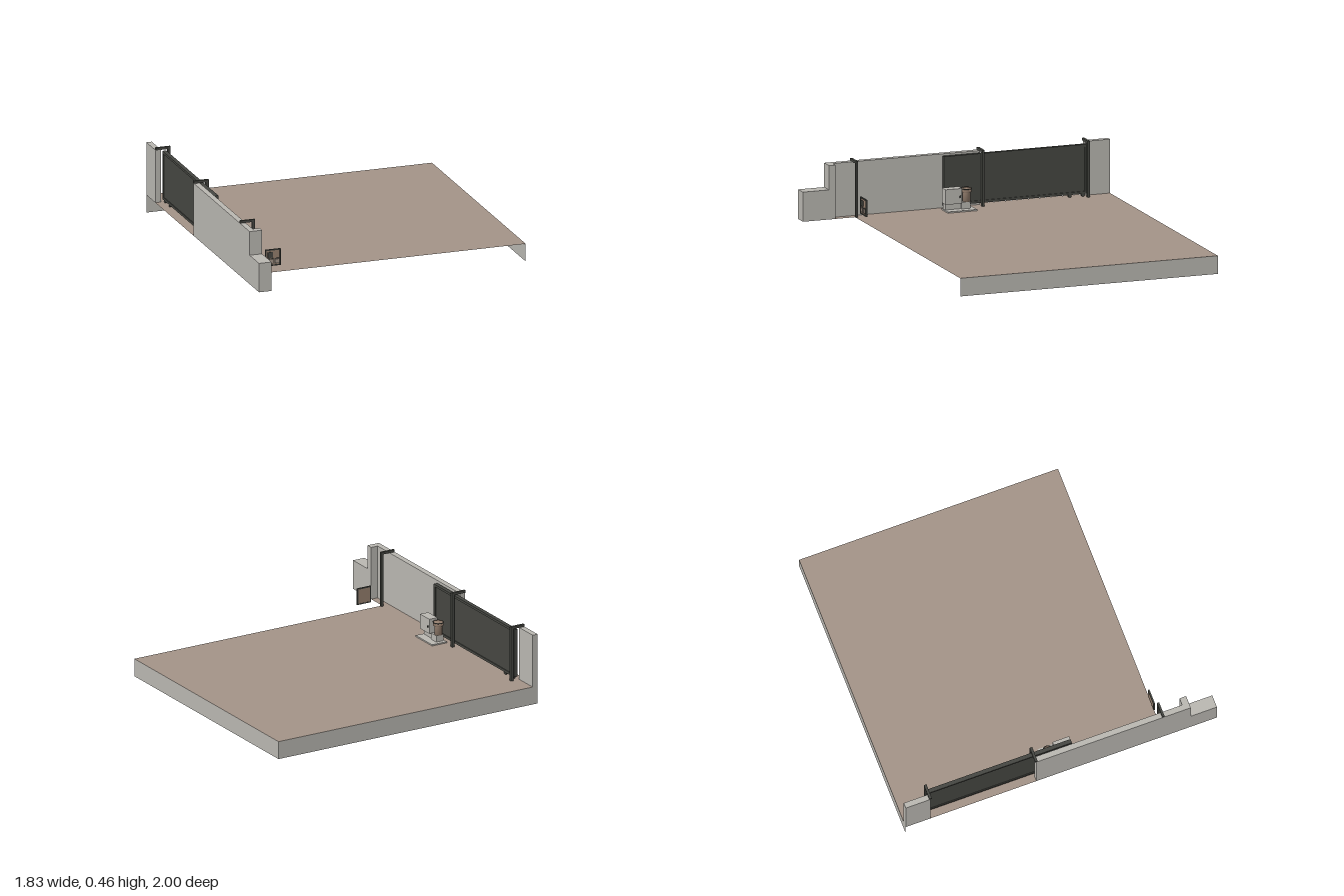
import * as THREE from 'three';

const flat = (name, hex, side = THREE.FrontSide) => {
  const m = new THREE.MeshStandardMaterial({ color: hex, side });
  m.name = name;
  return m;
};

export function createModel() {
  const model = new THREE.Group();
  model.name = 'slidingGateYard';
  const concrete = flat('concrete', 0xbab8b2, THREE.DoubleSide);
  const paving = flat('paving', 0xa49488, THREE.DoubleSide);
  const steel = flat('darkSteel', 0x464742);
  const copper = flat('copper', 0x96806f);

  const add = (name, geometry, material, parent = model) => {
    const mesh = new THREE.Mesh(geometry, material);
    mesh.name = name;
    parent.add(mesh);
    return mesh;
  };
  // Box given by its limits on each axis
  const box = (name, mat, [x0, x1], [y0, y1], [z0, z1], parent) => {
    const g = new THREE.BoxGeometry(x1 - x0, y1 - y0, z1 - z0);
    g.translate((x0 + x1) / 2, (y0 + y1) / 2, (z0 + z1) / 2);
    return add(name, g, mat, parent);
  };
  // Horizontal sheet
  const sheet = (name, [x0, x1], y, [z0, z1]) => {
    const g = new THREE.PlaneGeometry(x1 - x0, z1 - z0).rotateX(-Math.PI / 2);
    g.translate((x0 + x1) / 2, y, (z0 + z1) / 2);
    return add(name, g, paving);
  };

  const L = -0.915, R = 0.913, floorY = 0.112, wallTop = 0.445;

  // Paved floor, open below, with skirts at the back and right
  sheet('floor', [L, R], floorY, [-1, 0.663]);
  sheet('floorTab', [-0.88, -0.835], floorY, [0.663, 0.79]);
  const back = new THREE.PlaneGeometry(R - L, floorY).rotateY(Math.PI);
  add('backSkirt', back.translate(0, floorY / 2, -1), concrete);
  const right = new THREE.PlaneGeometry(1.663, floorY).rotateY(Math.PI / 2);
  add('rightSkirt', right.translate(R, floorY / 2, -0.1685), concrete);

  // Boundary wall, with a gateway near the back
  box('backWall', concrete, [L, -0.88], [floorY, wallTop], [-1, -0.84]);
  box('longWall', concrete, [L, -0.88], [floorY, wallTop], [-0.16, 0.79]);
  box('wallEndPier', concrete, [L, -0.835], [floorY, wallTop], [0.79, 0.832]);
  box('lowEndWall', concrete, [L, -0.835], [floorY, 0.295], [0.832, 1]);

  // Sliding gate: panel, surrounding rails and rollers
  const gate = new THREE.Group();
  gate.name = 'gate';
  model.add(gate);
  const gx = [-0.87, -0.845], gz = [-0.84, 0.085];
  box('gatePanel', steel, [-0.864, -0.851], [0.14, 0.427], gz, gate);
  for (const y of [0.13, 0.42]) box('gateRail', steel, gx, [y, y + 0.015], gz, gate);
  for (const z of [-0.84, 0.07]) box('gateStile', steel, gx, [0.13, 0.435], [z, z + 0.015], gate);
  for (const z of [-0.815, -0.73]) {
    const g = new THREE.CylinderGeometry(0.011, 0.011, 0.014, 12).rotateZ(Math.PI / 2);
    add('gateRoller', g.translate(-0.857, 0.123, z), steel, gate);
  }

  // Hooked guide posts that reach over the wall
  for (const [z, half] of [[-0.84, 0.008], [-0.16, 0.008], [0.657, 0.007]]) {
    const span = [z - half, z + half];
    box('guidePost', steel, [-0.838, -0.82], [floorY, 0.46], span);
    box('guideArm', steel, [L, -0.82], [0.445, 0.46], span);
  }

  // Gate drive: plate, pedestal, housing, keyed lock and gear drum
  const drive = new THREE.Group();
  drive.name = 'gateDrive';
  model.add(drive);
  box('drivePlate', concrete, [-0.835, -0.73], [floorY, 0.12], [-0.085, 0.105], drive);
  box('drivePedestal', concrete, [-0.82, -0.785], [0.12, 0.157], [0, 0.1], drive);
  box('driveHousing', concrete, [-0.82, -0.762], [0.157, 0.25], [0, 0.107], drive);
  box('driveLock', steel, [-0.762, -0.756], [0.194, 0.206], [0.01, 0.018], drive);
  box('drumBlock', concrete, [-0.825, -0.775], [0.12, 0.16], [-0.06, 0], drive);
  const profile = [[0, 0.16], [0.024, 0.16], [0.024, 0.215], [0.032, 0.22], [0.032, 0.24], [0, 0.24]]
    .map(([r, y]) => new THREE.Vector2(r, y));
  add('gearDrum', new THREE.LatheGeometry(profile, 24).translate(-0.8, 0, -0.042), copper, drive);
  const rim = new THREE.TorusGeometry(0.031, 0.003, 6, 24).rotateX(Math.PI / 2);
  add('drumRim', rim.translate(-0.8, 0.239, -0.042), steel, drive);

  // Small control panel at the front edge
  const panel = new THREE.Group();
  panel.name = 'controlPanel';
  model.add(panel);
  box('panelPlate', copper, [-0.748, -0.657], [0.157, 0.253], [0.655, 0.66], panel);
  for (const x of [-0.752, -0.661]) box('panelSide', steel, [x, x + 0.007], [0.153, 0.257], [0.654, 0.664], panel);
  for (const y of [0.153, 0.25]) box('panelEdge', steel, [-0.752, -0.654], [y, y + 0.007], [0.654, 0.664], panel);
  box('panelDisplay', steel, [-0.738, -0.705], [0.205, 0.24], [0.66, 0.664], panel);
  for (const x of [-0.734, -0.694]) {
    box('panelSocket', steel, [x, x + 0.032], [0.168, 0.2], [0.66, 0.665], panel);
    box('panelSwitch', paving, [x + 0.004, x + 0.028], [0.172, 0.196], [0.665, 0.67], panel);
  }
  return model;
}
